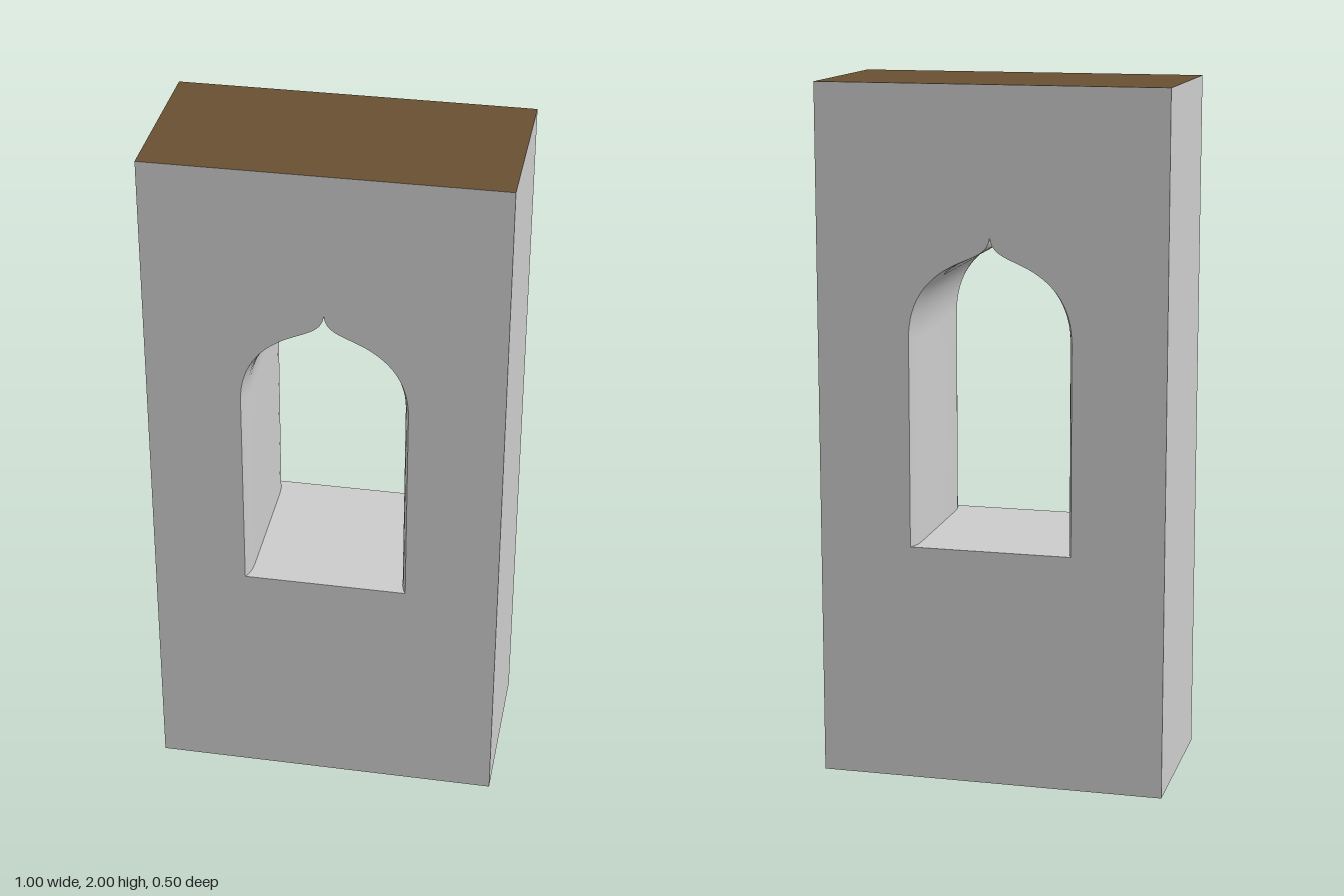
import * as THREE from 'three';

const W = 1, H = 2, D = 0.5;

// Reveal profile: depth position and how far the opening narrows there
const reveal = [[0.25, 1], [0.235, 0.968], [0.215, 0.946], [0.185, 0.936],
  [-0.185, 0.936], [-0.215, 0.946], [-0.235, 0.968], [-0.25, 1]];

// Surface swept through the wall along an anticlockwise piece of the opening's outline
function ribbon(points) {
  const pos = [], index = [], n = reveal.length;
  points.forEach((p, i) => {
    reveal.forEach(([z, s], j) => {
      pos.push(p.x * s, p.y, z);
      if (i < points.length - 1 && j < n - 1) {
        const a = i * n + j, b = a + n;
        index.push(a, b, a + 1, b, b + 1, a + 1);
      }
    });
  });
  const g = new THREE.BufferGeometry();
  g.setAttribute('position', new THREE.Float32BufferAttribute(pos, 3));
  g.setIndex(index);
  g.computeVertexNormals();
  return g;
}

export function createModel() {
  const group = new THREE.Group();
  const stone = new THREE.MeshStandardMaterial({ color: 0xcccccc });
  stone.name = 'pale grey plaster';
  const core = new THREE.MeshStandardMaterial({ color: 0x695033 });
  core.name = 'brown core';

  const add = (name, geometry, material) => {
    const mesh = new THREE.Mesh(geometry, material);
    mesh.name = name;
    group.add(mesh);
    return mesh;
  };

  // Right half of the ogee outline, from sill to apex
  const half = new THREE.Path();
  half.moveTo(0.234, 0.69);
  half.lineTo(0.234, 1.29);
  half.bezierCurveTo(0.234, 1.4, 0.18, 1.47, 0.085, 1.51);
  half.bezierCurveTo(0.04, 1.53, 0.003, 1.54, 0, 1.586);
  const right = half.getPoints(20);
  const left = right.map(p => new THREE.Vector2(-p.x, p.y)).reverse();

  // Front and back wall faces with the pierced opening
  const wall = new THREE.Shape([
    new THREE.Vector2(-W / 2, 0), new THREE.Vector2(W / 2, 0),
    new THREE.Vector2(W / 2, H), new THREE.Vector2(-W / 2, H)]);
  wall.holes.push(new THREE.Path([...right, ...left.slice(1)]));
  const face = new THREE.ShapeGeometry(wall);
  add('frontFace', face, stone).position.z = D / 2;
  const back = add('backFace', face, stone);
  back.position.z = -D / 2;
  back.rotation.y = Math.PI;

  // Wall ends
  for (const [name, s] of [['leftEnd', 1], ['rightEnd', -1]]) {
    const end = add(name, new THREE.PlaneGeometry(D, H), stone);
    end.position.set(s * W / 2, H / 2, 0);
    end.rotation.y = s * Math.PI / 2;
  }

  // Top and bottom cut faces
  for (const [name, y, s] of [['topFace', H, -1], ['bottomFace', 0, 1]]) {
    const cap = add(name, new THREE.PlaneGeometry(W, D), core);
    cap.position.y = y;
    cap.rotation.x = s * Math.PI / 2;
  }

  // Window reveal: two curved jambs meeting at the apex, and a flat sill
  add('leftJamb', ribbon(right), stone);
  add('rightJamb', ribbon(left), stone);
  add('sill', ribbon([left[left.length - 1], right[0]]), stone);

  return group;
}
